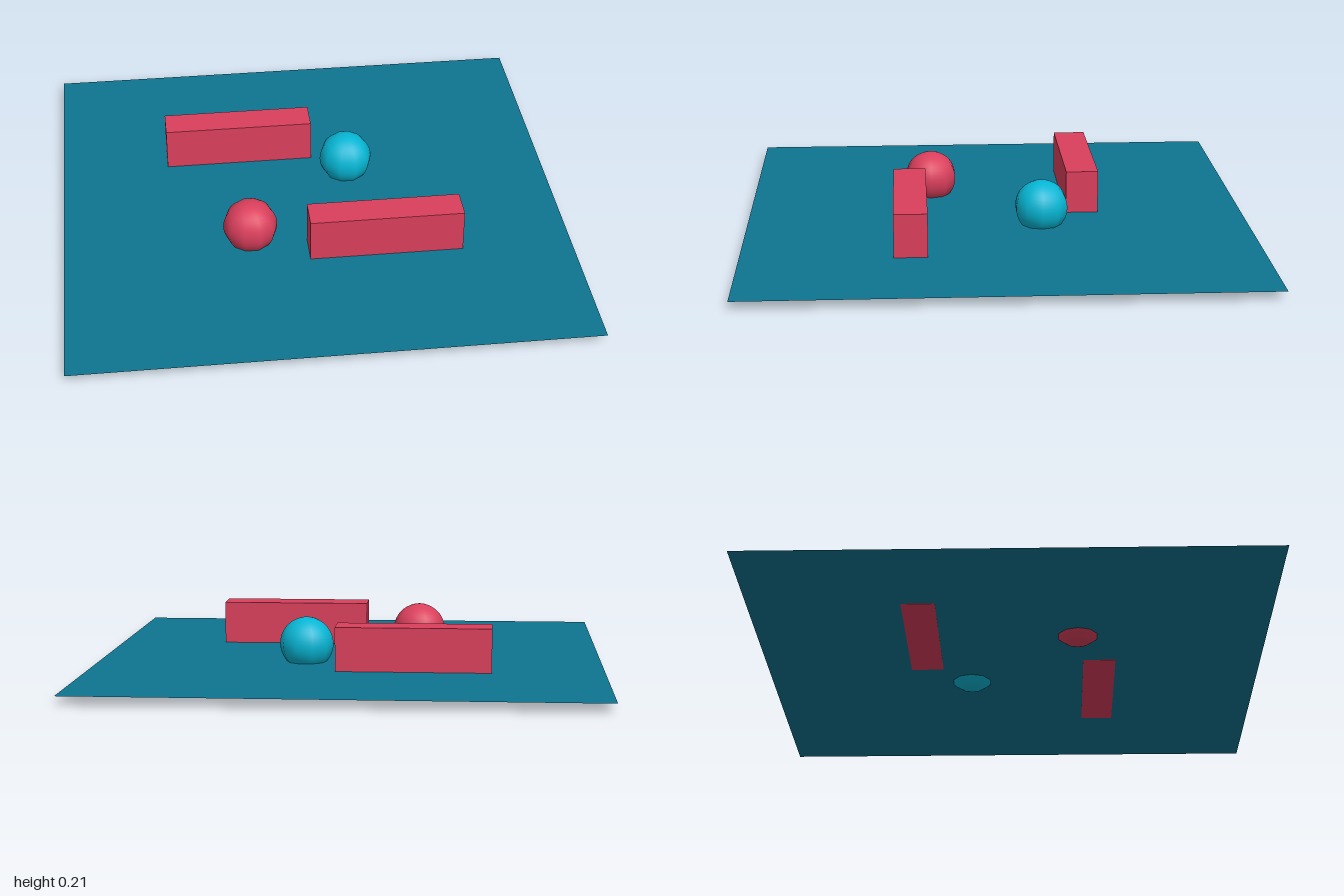
import * as THREE from 'three';

const floorTeal = new THREE.MeshStandardMaterial({ color: 0x0e7490, side: THREE.DoubleSide });
floorTeal.name = 'floor teal';
const roseRed = new THREE.MeshStandardMaterial({ color: 0xda3f5c });
roseRed.name = 'rose red';
const brightCyan = new THREE.MeshStandardMaterial({ color: 0x06b6d4 });
brightCyan.name = 'bright cyan';

const FLOOR_Y = 0.036;
const BALL_RADIUS = 0.107;
const WALL = { width: 0.605, height: 0.173, depth: 0.13, bottom: 0.035 };

export function createModel() {
  const group = new THREE.Group();
  group.name = 'arena';

  function add(name, geometry, material, x, y, z) {
    const mesh = new THREE.Mesh(geometry, material);
    mesh.name = name;
    mesh.position.set(x, y, z);
    group.add(mesh);
  }

  // Thin square floor
  const floor = new THREE.PlaneGeometry(2, 2).rotateX(-Math.PI / 2);
  add('floor', floor, floorTeal, 0, FLOOR_Y, 0);

  // Two walls, each the other turned half round the centre
  const wall = new THREE.BoxGeometry(WALL.width, WALL.height, WALL.depth);
  for (const [name, side] of [['frontWall', 1], ['backWall', -1]]) {
    add(name, wall, roseRed, side * 0.262, WALL.bottom + WALL.height / 2, side * 0.35);
  }

  // Ten-sided balls sunk slightly through the floor
  const ball = new THREE.SphereGeometry(BALL_RADIUS, 10, 24);
  add('redBall', ball, roseRed, -0.263, BALL_RADIUS, 0.26);
  add('cyanBall', ball, brightCyan, 0.172, BALL_RADIUS, -0.174);

  return group;
}
